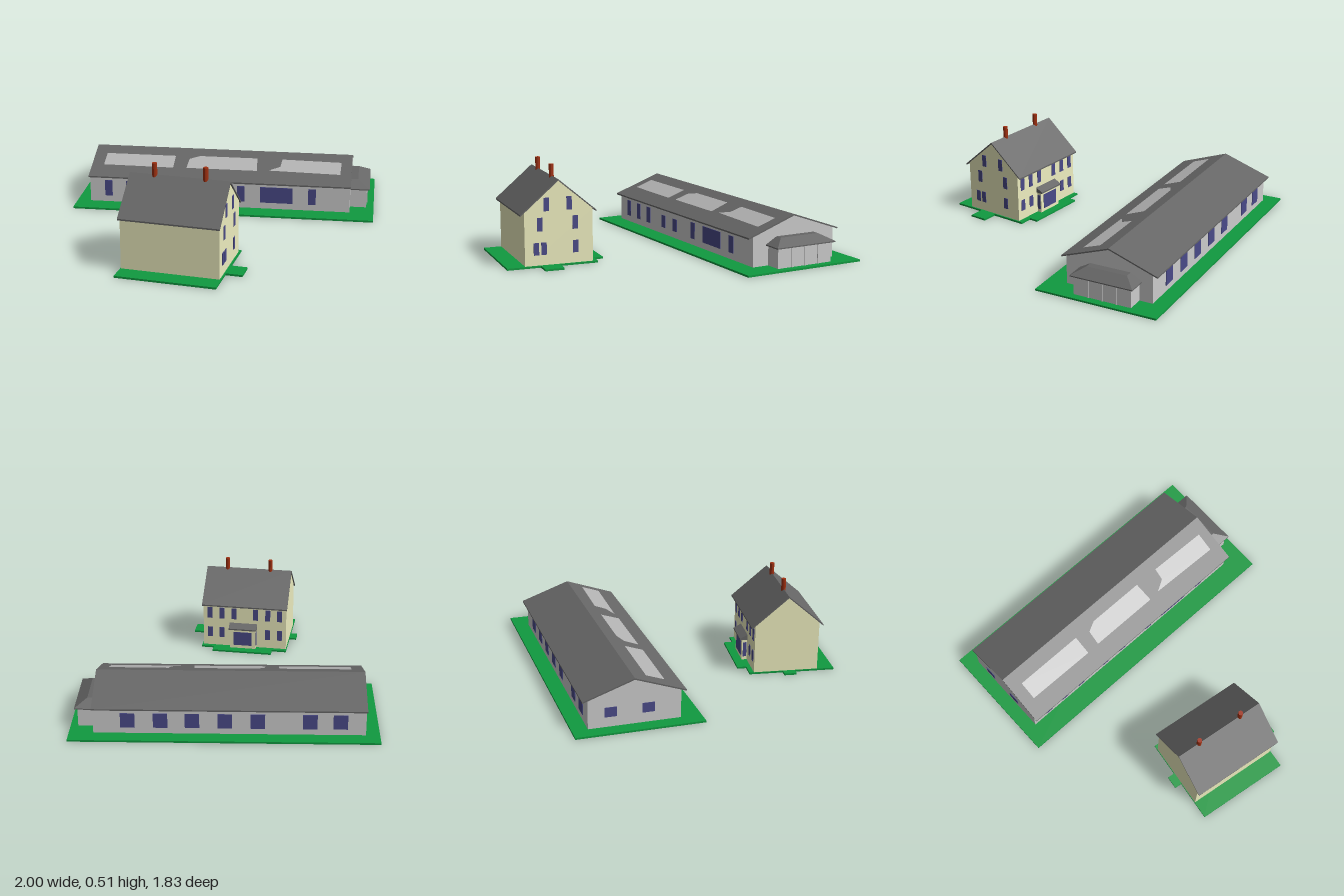
import * as THREE from 'three';
import { ConvexGeometry } from 'three/addons/geometries/ConvexGeometry.js';

const mat = (color) => new THREE.MeshStandardMaterial({ color, flatShading: true, side: THREE.DoubleSide });
const M = {
  grey: mat(0xcccccc), cream: mat(0xeeeec0), roof: mat(0x666666), glass: mat(0x4a4a88),
  grass: mat(0x109a40), brick: mat(0xa03010), skylight: mat(0xb4b4b4),
};

function add(group, name, geometry, material) {
  const mesh = new THREE.Mesh(geometry, material);
  mesh.name = name;
  group.add(mesh);
  return mesh;
}

// Box given by its min and max corners
function block(group, name, material, [x0, y0, z0], [x1, y1, z1]) {
  const m = add(group, name, new THREE.BoxGeometry(x1 - x0, y1 - y0, z1 - z0), material);
  m.position.set((x0 + x1) / 2, (y0 + y1) / 2, (z0 + z1) / 2);
  return m;
}

// Profile in the (z, y) plane, extruded along x and centred
function extrudeX(group, name, material, pts, length) {
  const shape = new THREE.Shape(pts.map(([a, b]) => new THREE.Vector2(a, b)));
  const geo = new THREE.ExtrudeGeometry(shape, { depth: length, bevelEnabled: false });
  geo.translate(0, 0, -length / 2).rotateY(Math.PI / 2);
  return add(group, name, geo, material);
}

// Gabled body with a thin roof that overhangs at the eaves
function gabled(group, wallMat, { len, half, eaveHalf, eaveY, ridgeY, roofLen }) {
  const t = 0.008;
  const wallY = eaveY + (ridgeY - eaveY) * (1 - half / eaveHalf);
  extrudeX(group, 'walls', wallMat,
    [[-half, 0.005], [half, 0.005], [half, wallY - t], [0, ridgeY - t], [-half, wallY - t]], len);
  extrudeX(group, 'roof', M.roof,
    [[-eaveHalf, eaveY - t], [0, ridgeY - t], [eaveHalf, eaveY - t], [eaveHalf, eaveY], [0, ridgeY], [-eaveHalf, eaveY]], roofLen);
}

// Window on a long side (facing z) or an end (facing x)
function windowZ(group, u, z, w, y0, y1) {
  block(group, 'window', M.glass, [u - w / 2, y0, z - 0.003], [u + w / 2, y1, z + 0.003]);
}
function windowX(group, x, v, w, y0, y1) {
  block(group, 'window', M.glass, [x - 0.003, y0, v - w / 2], [x + 0.003, y1, v + w / 2]);
}

function createHall() {
  const g = new THREE.Group();
  g.name = 'hall';
  block(g, 'lawn', M.grass, [-0.8, 0, -0.331], [0.856, 0.01, 0.359]);
  gabled(g, M.grey, { len: 1.45, half: 0.247, eaveHalf: 0.275, eaveY: 0.165, ridgeY: 0.262, roofLen: 1.457 });

  // Windows along both sides and on the far end
  for (const u of [0.541, 0.367, 0.198, 0.024, -0.151, -0.428, -0.589]) windowZ(g, u, -0.247, 0.077, 0.044, 0.128);
  for (const u of [-0.62, -0.5, -0.381, 0.125, 0.518]) windowZ(g, u, 0.247, 0.042, 0.045, 0.135);
  for (const u of [-0.2, -0.072]) windowZ(g, u, 0.247, 0.042, 0.048, 0.118);
  windowZ(g, 0.321, 0.247, 0.18, 0.045, 0.135);
  for (const v of [-0.127, 0.073]) windowX(g, -0.725, v, 0.065, 0.065, 0.118);

  // Roof lights lying on the sunny slope, given as (along, across) outlines
  const lights = [
    [[-0.66, 0.078], [-0.66, 0.177], [-0.265, 0.18], [-0.265, 0.078]],
    [[-0.19, 0.177], [-0.184, 0.099], [-0.127, 0.071], [0.198, 0.071], [0.205, 0.177]],
    [[0.269, 0.17], [0.332, 0.134], [0.339, 0.071], [0.67, 0.078], [0.667, 0.18]],
  ];
  for (const pts of lights) {
    const geo = new THREE.ShapeGeometry(new THREE.Shape(pts.map(([u, v]) => new THREE.Vector2(u, -v))));
    geo.rotateX(-Math.PI / 2);
    const p = geo.attributes.position;
    for (let i = 0; i < p.count; i++) p.setY(i, 0.266 - p.getZ(i) * (0.097 / 0.275));
    geo.computeVertexNormals();
    add(g, 'roofLight', geo, M.skylight);
  }

  // Entrance porch with a hipped lean-to roof
  block(g, 'porchWalls', M.grey, [0.72, 0.005, -0.172], [0.815, 0.12, 0.155]);
  const roofPts = [];
  for (const s of [-1, 1]) {
    const c = -0.009;
    for (const x of [0.722, 0.831]) {
      for (const y of [0.114, 0.12]) roofPts.push(new THREE.Vector3(x, y, c + s * 0.178));
    }
    roofPts.push(new THREE.Vector3(0.722, 0.156, c + s * 0.115), new THREE.Vector3(0.765, 0.156, c + s * 0.115));
  }
  add(g, 'porchRoof', new ConvexGeometry(roofPts), M.roof);
  for (const v of [-0.09, -0.01, 0.07]) block(g, 'porchPost', M.grey, [0.813, 0.005, v - 0.004], [0.82, 0.115, v + 0.004]);
  return g;
}

function createHouse() {
  const g = new THREE.Group();
  g.name = 'house';
  // Lawn and the small aprons at its edges
  block(g, 'lawn', M.grass, [-0.255, 0, -0.205], [0.26, 0.01, 0.275]);
  block(g, 'frontPath', M.grass, [0.26, 0, 0], [0.345, 0.01, 0.1]);
  block(g, 'backPath', M.grass, [-0.295, 0, -0.016], [-0.255, 0.01, 0.053]);
  block(g, 'sideTerrace', M.grass, [-0.17, 0, -0.255], [0.186, 0.01, -0.205]);

  gabled(g, M.cream, { len: 0.504, half: 0.18, eaveHalf: 0.201, eaveY: 0.278, ridgeY: 0.45, roofLen: 0.516 });

  for (const u of [-0.129, 0.132]) {
    const c = add(g, 'chimney', new THREE.CylinderGeometry(0.013, 0.013, 0.09, 10), M.brick);
    c.position.set(u, 0.465, 0);
  }

  // Gable windows in three rows: [across, bottom, top]
  const rows = [
    [[0.064, -0.056], 0.289, 0.358],
    [[0.1, -0.087], 0.187, 0.257],
    [[0.12, 0.08, -0.087], 0.064, 0.128],
  ];
  for (const [vs, y0, y1] of rows) for (const v of vs) windowX(g, 0.252, v, 0.028, y0, y1);

  // Side windows, leaving the ground floor middle free for the porch
  for (const s of [-1, 1]) {
    for (const u of [0.065, 0.14, 0.212]) windowZ(g, s * u, -0.18, 0.03, 0.187, 0.257);
    for (const u of [0.14, 0.212]) windowZ(g, s * u, -0.18, 0.03, 0.064, 0.128);
  }

  // Glazed side porch with a sloping roof
  block(g, 'porchWalls', M.cream, [-0.07, 0.005, -0.208], [0.085, 0.135, -0.175]);
  windowZ(g, 0.008, -0.208, 0.11, 0.03, 0.115);
  for (const x of [-0.07, 0.085]) windowX(g, x, -0.193, 0.02, 0.03, 0.115);
  extrudeX(g, 'porchRoof', M.roof,
    [[0.175, 0.132], [0.222, 0.132], [0.222, 0.14], [0.175, 0.165]], 0.168).position.x = 0.008;
  return g;
}

export function createModel() {
  const model = new THREE.Group();
  model.name = 'farmstead';
  const hall = createHall();
  hall.position.set(0.16, 0, -0.12);
  hall.rotation.y = -Math.PI / 4;
  const house = createHouse();
  house.position.set(-0.626, 0, 0.54);
  house.rotation.y = -0.925;
  model.add(hall, house);
  return model;
}
